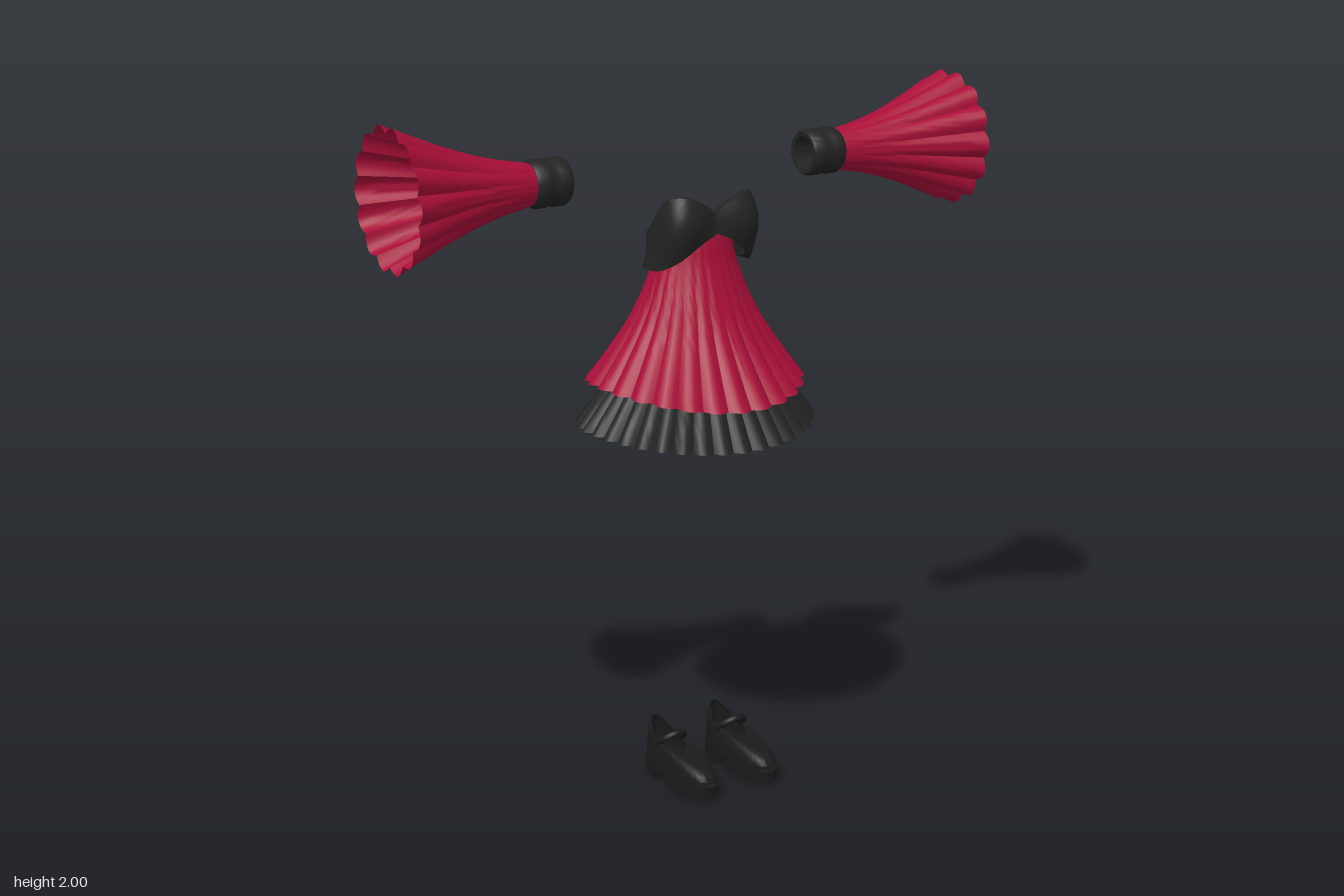
import * as THREE from 'three';
import { toCreasedNormals } from 'three/addons/utils/BufferGeometryUtils.js';

const TAU = Math.PI * 2;
const lerp = THREE.MathUtils.lerp;

function material(name, color) {
  const m = new THREE.MeshStandardMaterial({ color, side: THREE.DoubleSide });
  m.name = name;
  return m;
}

// Surface closed around angle a; v runs 0..1 along nv rows; fn(a, v) gives [x, y, z]
function sheet(nu, nv, fn, crease = 0.75) {
  const pos = [], index = [];
  for (let j = 0; j <= nv; j++)
    for (let i = 0; i < nu; i++) pos.push(...fn((i / nu) * TAU, j / nv));
  for (let j = 0; j < nv; j++)
    for (let i = 0; i < nu; i++) {
      const k = (i + 1) % nu, p = j * nu, q = p + nu;
      index.push(p + i, p + k, q + k, p + i, q + k, q + i);
    }
  const g = new THREE.BufferGeometry();
  g.setAttribute('position', new THREE.Float32BufferAttribute(pos, 3));
  g.setIndex(index);
  return toCreasedNormals(g, crease);
}

// Smoothly blended lookup in a short list of [key, value]
function table(points) {
  return (x) => {
    let i = 0;
    while (i < points.length - 2 && x > points[i + 1][0]) i++;
    const at = (k) => points[Math.max(0, Math.min(points.length - 1, k))];
    const [x0, y0] = at(i), [x1, y1] = at(i + 1), h = x1 - x0;
    const t = THREE.MathUtils.clamp((x - x0) / h, 0, 1);
    const slope = (k) => (at(k + 1)[1] - at(k - 1)[1]) / (at(k + 1)[0] - at(k - 1)[0]);
    const a = t * t * (3 - 2 * t);
    return y0 + (y1 - y0) * a + h * t * (1 - t) * ((1 - t) * slope(i) - t * slope(i + 1));
  };
}

// Rounded flutes with sharp inward creases
const flute = (a, n, depth) => 1 - depth * (1 - Math.abs(Math.sin((a * n) / 2)));

function createModel() {
  const model = new THREE.Group();
  const red = material('crimson cloth', 0xa80e38);
  const black = material('black cloth', 0x232323);
  const leather = material('black leather', 0x1a1a1a);

  function add(parent, name, geometry, mat) {
    const m = new THREE.Mesh(geometry, mat);
    m.name = name;
    parent.add(m);
    return m;
  }

  // Pleated skirt layers
  const redWidth = table([[0, 0.11], [0.2, 0.125], [0.54, 0.185], [0.82, 0.262], [1, 0.318]]);
  add(model, 'skirt', sheet(26 * 6, 20, (a, v) => {
    const t = Math.max(0, (v - 0.05) / 0.95);
    const r = v === 0 ? 0 : redWidth(t) * flute(a, 26, 0.015 + 0.05 * t);
    const y = lerp(1.625, 1.17 + 0.04 * Math.sin(a) ** 2, t);
    return [Math.sin(a) * r, y, Math.cos(a) * r * lerp(0.78, 0.975, t ** 0.6) - 0.004];
  }), red);

  const blackWidth = table([[0, 0.1], [0.4, 0.172], [0.7, 0.262], [1, 0.361]]);
  add(model, 'underskirt', sheet(36 * 6, 16, (a, v) => {
    const t = Math.max(0, (v - 0.0625) / 0.9375);
    const r = v === 0 ? 0 : blackWidth(t) * flute(a, 36, 0.06 * t);
    const y = lerp(1.5, 1.055 + 0.033 * Math.sin(a) ** 2, t);
    return [Math.sin(a) * r, y, Math.cos(a) * r * 0.86 - 0.002];
  }), black);

  // Sweetheart bodice: a thick shell with two cups and an arched lower front
  const rim = table([[0, 1.695], [0.2, 1.72], [0.6, 1.75], [0.95, 1.745],
    [1.25, 1.712], [1.6, 1.66], [2.2, 1.625], [3.15, 1.615]]);
  const hem = table([[0, 1.637], [0.3, 1.615], [0.7, 1.568], [1.0, 1.544], [1.3, 1.535], [3.15, 1.53]]);
  add(model, 'bodice', sheet(96, 31, (a, v) => {
    const s = v < 0.5 ? v * 2 : 2 - 2 * v;
    const inner = v > 0.5 && v < 1;
    const b = a > Math.PI ? TAU - a : a;
    const cup = Math.exp(-(((b - 0.66) / 0.46) ** 2)) * Math.sin(Math.PI * (0.1 + 0.75 * s));
    const swell = 0.055 * cup + 0.012 * (1 - s) ** 3 - (inner ? 0.02 : 0);
    const depth = Math.cos(a) > 0 ? 0.1 : 0.112;
    return [Math.sin(a) * (0.147 + swell), lerp(hem(b), rim(b), s), Math.cos(a) * (depth + swell)];
  }), black);

  // Flared sleeves with padded cuffs
  const flare = table([[0, 0.056], [0.3, 0.083], [0.6, 0.126], [1, 0.199]]);
  const sleeveGeo = sheet(14 * 8, 14, (a, v) => {
    const r = flare(v) * flute(a, 14, 0.03 + 0.08 * v);
    return [lerp(0.495, 0.93, v), Math.cos(a) * r, Math.sin(a) * r];
  });
  const cuffProfile = [[0.048, 0.402], [0.06, 0.4], [0.067, 0.41], [0.068, 0.44], [0.062, 0.453],
    [0.062, 0.457], [0.068, 0.47], [0.068, 0.498], [0.06, 0.511], [0.05, 0.51],
    [0.046, 0.48], [0, 0.475], [0, 0.465], [0.046, 0.46], [0.048, 0.402]];
  const cuffGeo = sheet(40, cuffProfile.length - 1, (a, v) => {
    const [r, x] = cuffProfile[Math.round(v * (cuffProfile.length - 1))];
    return [x, Math.cos(a) * r, Math.sin(a) * r];
  }, 1);
  for (const side of [1, -1]) {
    const sleeve = new THREE.Group();
    sleeve.name = side > 0 ? 'leftSleeve' : 'rightSleeve';
    add(sleeve, 'flare', sleeveGeo, red);
    add(sleeve, 'cuff', cuffGeo, black);
    sleeve.position.set(0, 1.803, -0.045);
    if (side < 0) sleeve.rotation.y = Math.PI;
    model.add(sleeve);
  }

  // Strapped platform shoes
  const pow = (x, e) => Math.sign(x) * Math.abs(x) ** e;
  const outline = (a) => [0.054 * pow(Math.sin(a), 0.75), 0.085 + 0.163 * pow(Math.cos(a), 0.85)];
  // Slab following the foot outline between two z limits
  const slab = (y0, y1, z0, z1, taper = 0) => sheet(64, 3, (a, v) => {
    const row = Math.round(v * 3), mid = (Math.max(z0, -0.078) + Math.min(z1, 0.248)) / 2;
    let [x, z] = outline(a);
    z = THREE.MathUtils.clamp(z, z0, z1);
    const k = row === 0 || row === 3 ? 0 : row === 1 ? 1 - taper : 1;
    const lift = row < 2 ? 0.018 * Math.max(0, ((z - 0.15) / 0.1)) ** 2 * k : 0;
    return [x * k, (row < 2 ? y0 : y1) + lift, mid + (z - mid) * k];
  });
  const upperGeo = sheet(64, 8, (a, v) => {
    const t = v * Math.PI / 2, c = 1 - Math.cos(t), f = Math.cos(a);
    const [x, z] = outline(a);
    const top = f > 0 ? lerp(0.122, 0.104, f) : lerp(0.122, 0.165, f * f);
    return [lerp(x * 0.96, 0.037 * Math.sin(a), c),
      lerp(0.055, top, Math.sin(t)),
      lerp(0.085 + (z - 0.085) * 0.97, 0.018 + 0.078 * f, c)];
  });
  const strapGeo = new THREE.TorusGeometry(0.043, 0.009, 8, 24, Math.PI);
  strapGeo.scale(1, 1.3, 1.2);
  const parts = {
    upper: upperGeo,
    insole: slab(0.055, 0.066, -0.06, 0.15, 0.1),
    welt: slab(0.04, 0.06, -1, 1),
    frontSole: slab(0, 0.045, 0.085, 1, 0.03),
    heel: slab(0, 0.05, -1, 0.022, 0.04),
  };
  for (const side of [1, -1]) {
    const shoe = new THREE.Group();
    shoe.name = side > 0 ? 'leftShoe' : 'rightShoe';
    for (const [name, geo] of Object.entries(parts)) add(shoe, name, geo, leather);
    const strap = add(shoe, 'strap', strapGeo, leather);
    strap.position.set(0, 0.112, 0.02);
    strap.rotation.x = 0.87;
    shoe.position.x = side * 0.105;
    model.add(shoe);
  }

  return model;
}

export { createModel };
